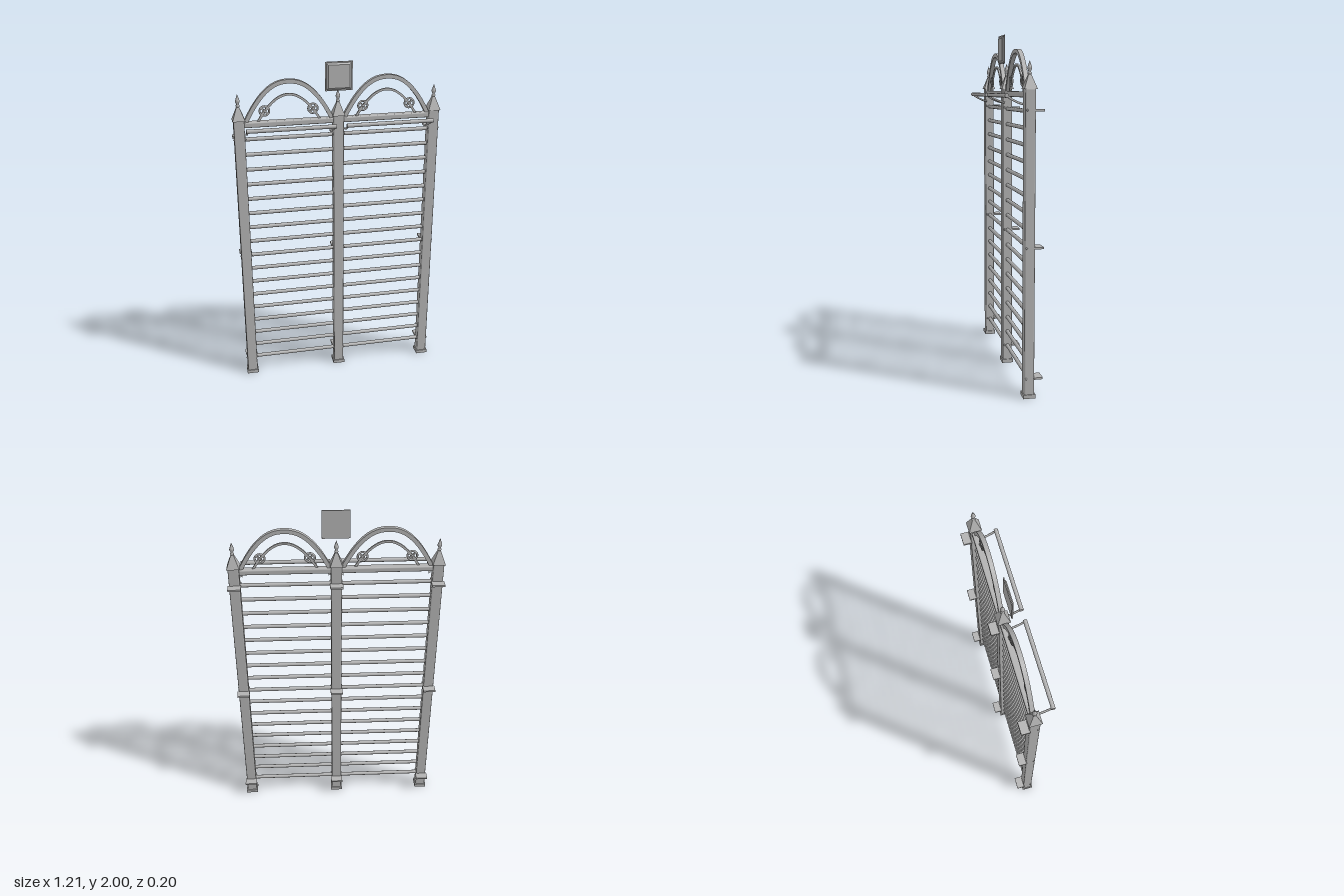
import * as THREE from 'three';
import { RoundedBoxGeometry } from 'three/addons/geometries/RoundedBoxGeometry.js';

const metal = new THREE.MeshStandardMaterial({ color: 0xb2b2b2 });
metal.name = 'grey metal';

const Z = -0.026;      // depth of the post line
const POST_X = 0.568;  // outer post position
const BAY_X = 0.283;   // centre of each bay

function add(parent, name, geometry, x = 0, y = 0, z = 0) {
  const mesh = new THREE.Mesh(geometry, metal);
  mesh.name = name;
  mesh.position.set(x, y, z);
  parent.add(mesh);
  return mesh;
}

const box = (w, h, d) => new THREE.BoxGeometry(w, h, d);

// Horizontal round bar along x
const bar = (r, length) => new THREE.CylinderGeometry(r, r, length, 16).rotateZ(Math.PI / 2);

// Square frustum with flat faces, standing along y
function frustum(topWidth, baseWidth, h) {
  const k = Math.SQRT1_2;
  const g = new THREE.CylinderGeometry(topWidth * k, baseWidth * k, h, 4).toNonIndexed().rotateY(Math.PI / 4);
  g.computeVertexNormals();
  return g;
}

// Flat band of even thickness following y = rise * (1 - |x / half|^power)
function archBand(half, rise, power, thickness, depth) {
  const outer = [], inner = [];
  for (let i = 0; i <= 40; i++) {
    const t = -1 + i / 20;
    const x = half * t, y = rise * (1 - Math.abs(t) ** power);
    const slope = -Math.sign(t) * rise * power * Math.abs(t) ** (power - 1) / half;
    const k = thickness / Math.hypot(1, slope);
    outer.push(new THREE.Vector2(x, y));
    inner.push(new THREE.Vector2(x + slope * k, y - k));
  }
  const shape = new THREE.Shape([...outer, ...inner.reverse()]);
  return new THREE.ExtrudeGeometry(shape, { depth, bevelEnabled: false })
    .translate(0, 0, -depth / 2);
}

function makePost(x) {
  const post = new THREE.Group();
  post.name = 'post';
  post.position.set(x, 0, Z);
  add(post, 'foot', box(0.072, 0.022, 0.068), 0, 0.011);
  add(post, 'shaft', new RoundedBoxGeometry(0.061, 1.68, 0.057, 3, 0.007), 0, 0.853);

  // Pyramid cap
  add(post, 'cap', frustum(0.011, 0.072, 0.082), 0, 1.73);

  // Spear finial
  const profile = [[0.008, 1.765], [0.011, 1.769], [0.011, 1.774], [0.006, 1.779],
    [0.013, 1.796], [0.012, 1.803], [0.006, 1.82], [0.0001, 1.837]];
  add(post, 'finial', new THREE.LatheGeometry(profile.map(p => new THREE.Vector2(...p)), 16));

  // Wall brackets with bolts on the post sides
  for (const y of [0.113, 0.845, 1.58]) {
    add(post, 'wallBracket', box(0.073, 0.011, 0.05), 0, y, -0.049);
    for (const s of [-1, 1]) {
      add(post, 'bolt', new THREE.SphereGeometry(0.006, 10, 8), s * 0.031, y, 0.019);
    }
  }
  return post;
}

// Small ring with a cross inside
function makeRosette(x, y) {
  const rosette = new THREE.Group();
  rosette.name = 'rosette';
  rosette.position.set(x, y, 0.004);
  add(rosette, 'ring', new THREE.TorusGeometry(0.027, 0.006, 8, 28));
  for (const s of [-1, 1]) {
    add(rosette, 'crossBar', box(0.054, 0.009, 0.011)).rotation.z = s * Math.PI / 4;
  }
  add(rosette, 'hub', new THREE.SphereGeometry(0.009, 12, 8));
  return rosette;
}

function makeBay(x) {
  const bay = new THREE.Group();
  bay.name = 'bay';
  bay.position.set(x, 0, Z);

  // Rungs and top rail
  for (let i = 0; i < 17; i++) {
    add(bay, 'rung', bar(0.0115, 0.515), 0, 0.11 + i * 0.0915);
  }
  add(bay, 'topRail', new RoundedBoxGeometry(0.515, 0.032, 0.042, 3, 0.008), 0, 1.661);

  // Arches and rosettes
  add(bay, 'outerArch', archBand(0.26, 0.237, 2.25, 0.023, 0.025), 0, 1.672, 0.003);
  add(bay, 'innerArch', archBand(0.186, 0.16, 2, 0.013, 0.01), 0, 1.67, 0.004);
  for (const s of [-1, 1]) bay.add(makeRosette(s * 0.138, 1.735));

  // Pull-up bar on curved arms
  const pullUp = new THREE.Group();
  pullUp.name = 'pullUpBar';
  pullUp.position.z = -Z;
  bay.add(pullUp);
  add(pullUp, 'grip', bar(0.0115, 0.507), 0, 1.655, 0.088);
  const path = new THREE.QuadraticBezierCurve3(
    new THREE.Vector3(0, 1.61, -0.005),
    new THREE.Vector3(0, 1.62, 0.045),
    new THREE.Vector3(0, 1.655, 0.088));
  for (const s of [-1, 1]) {
    add(pullUp, 'arm', new THREE.TubeGeometry(path, 12, 0.006, 10), s * 0.246);
  }
  return bay;
}

export function createModel() {
  const model = new THREE.Group();
  model.name = 'wallBars';
  for (const x of [-POST_X, 0, POST_X]) model.add(makePost(x));
  for (const x of [-BAY_X, BAY_X]) model.add(makeBay(x));

  // Sign plate with a bevelled front panel above the middle post
  const sign = new THREE.Group();
  sign.name = 'sign';
  sign.position.set(0, 1.918, 0);
  add(sign, 'backPlate', box(0.156, 0.164, 0.006), 0, 0, 0.003);
  const panel = frustum(0.87, 1, 0.008).rotateX(Math.PI / 2).scale(0.142, 0.15, 1);
  panel.computeVertexNormals();
  add(sign, 'frontPanel', panel, 0, 0, 0.01);
  model.add(sign);
  return model;
}
